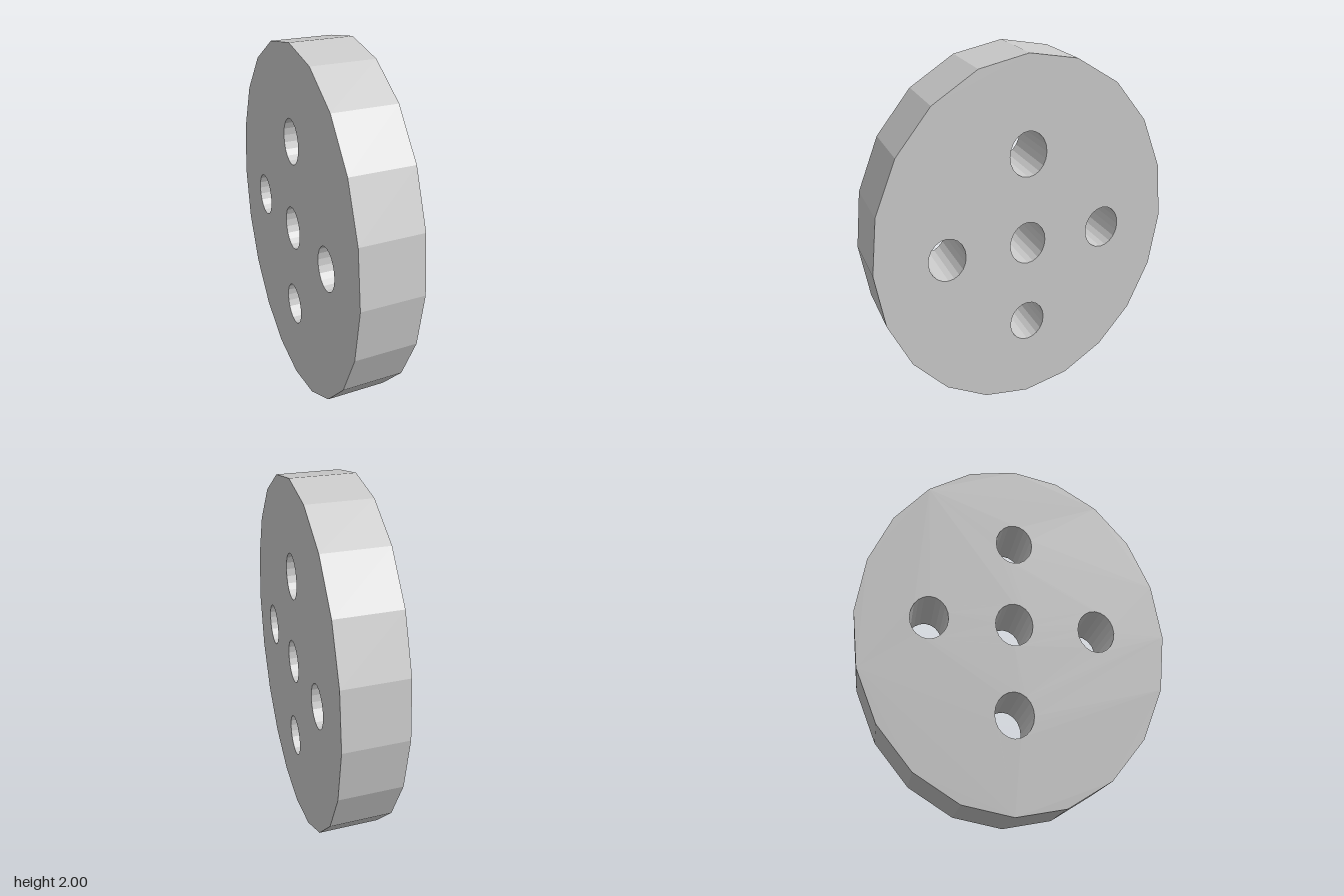
import * as THREE from 'three';

const SIDES = 20;
const WIDTH = 0.333;

// Corners of a regular polygon stretched into an oval
function oval(cx, cy, rx, ry) {
  return Array.from({ length: SIDES }, (_, i) => {
    const a = (i / SIDES) * Math.PI * 2;
    return new THREE.Vector2(cx + rx * Math.cos(a), cy + ry * Math.sin(a));
  });
}

export function createModel() {
  const group = new THREE.Group();
  group.name = 'perforatedDisc';

  // Faceted oval outline
  const outline = new THREE.Shape(oval(0, 1, 0.832, 1));

  // Centre hole and four holes around it
  const centres = [[0, 1], [0.45, 1], [-0.45, 1], [0, 1.5], [0, 0.5]];
  for (const [x, y] of centres) outline.holes.push(new THREE.Path(oval(x, y, 0.101, 0.122)));

  // Extrude the thickness and turn the flat faces towards the sides
  const geometry = new THREE.ExtrudeGeometry(outline, { depth: WIDTH, bevelEnabled: false });
  geometry.translate(0, 0, -WIDTH / 2);
  geometry.rotateY(Math.PI / 2);

  const disc = new THREE.Mesh(
    geometry,
    new THREE.MeshStandardMaterial({ color: 0xcccccc, flatShading: true })
  );
  disc.name = 'disc';
  group.add(disc);
  return group;
}
